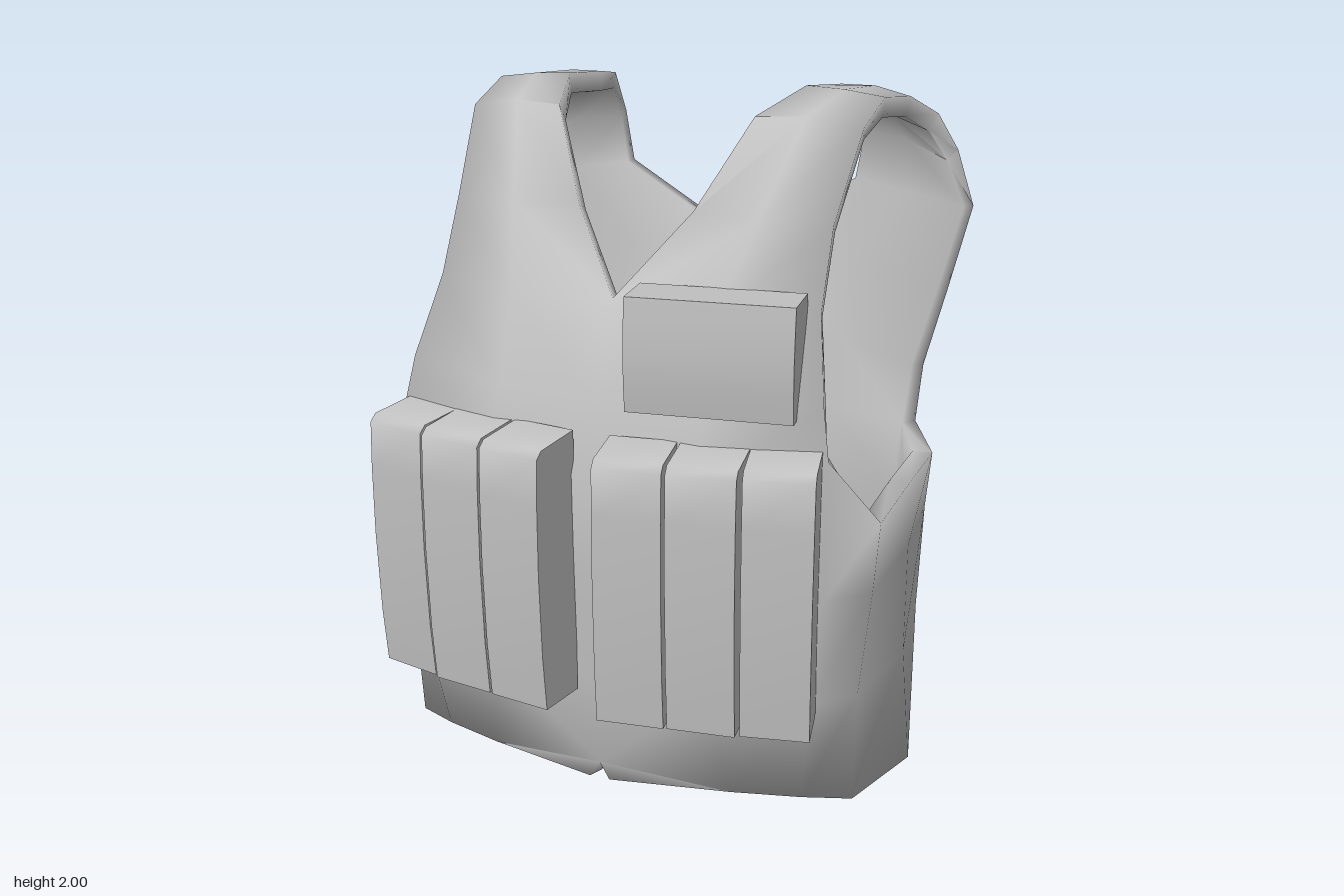
import * as THREE from 'three';
import { mergeVertices, toCreasedNormals } from 'three/addons/utils/BufferGeometryUtils.js';

// Lower body, left half: each row runs from front centre round to back centre.
const TUB = [
  [[0, .15, .48], [.37, .1, .41], [.56, .095, .35], [.69, .085, .285], [.76, .06, -.05], [.67, .04, -.39], [.5, .02, -.535], [.34, .01, -.665], [0, 0, -.675]],
  [[0, .42, .5], [.32, .42, .49], [.6, .42, .41], [.7, .42, .305], [.73, .4, -.05], [.675, .4, -.39], [.58, .38, -.5], [.35, .37, -.58], [0, .37, -.585]],
  [[0, .73, .51], [.3, .73, .51], [.63, .73, .42], [.73, .73, .3], [.73, .73, -.05], [.69, .73, -.38], [.605, .73, -.465], [.36, .73, -.49], [0, .73, -.505]],
  [[0, 1.02, .515], [.3, 1.05, .52], [.63, 1.12, .41], [.745, .93, .3], [.725, .92, -.05], [.71, .91, -.36], [.635, .98, -.43], [.36, .97, -.54], [0, .97, -.545]],
];

// Strap, left half: rows climb the chest, cross the shoulder and descend the back.
// Each row runs from the centre or neckline to the armhole.
const top = TUB[3];
const STRAP = [
  [top[0], top[1], top[2]],
  [[0, 1.22, .475], [.3, 1.23, .46], [.605, 1.26, .385]],
  [[0, 1.48, .36], [.3, 1.47, .37], [.56, 1.48, .29]],
  [[.17, 1.7, .21], [.36, 1.69, .23], [.555, 1.69, .19]],
  [[.29, 1.94, .075], [.43, 1.945, .06], [.58, 1.92, .035]],
  [[.36, 2, -.14], [.47, 1.995, -.14], [.585, 1.98, -.14]],
  [[.38, 1.975, -.4], [.48, 1.975, -.4], [.585, 1.95, -.4]],
  [[.4, 1.955, -.54], [.51, 1.94, -.53], [.64, 1.89, -.51]],
  [[.41, 1.825, -.64], [.55, 1.82, -.61], [.69, 1.78, -.565]],
  [[.38, 1.67, -.635], [.56, 1.64, -.61], [.745, 1.62, -.56]],
  [[0, 1.45, -.625], [.38, 1.4, -.62], [.695, 1.38, -.51]],
  [[0, 1.17, -.585], [.38, 1.17, -.58], [.645, 1.15, -.455]],
  [top[8], top[7], top[6]],
];

const WALL = 0.058;

function vestGeometry() {
  const pos = [];
  const flip = ([x, y, z]) => [-x, y, z];
  const tri = (a, b, c) => {
    pos.push(...a, ...b, ...c);
    pos.push(...flip(a), ...flip(c), ...flip(b));
  };
  const sheet = (rows) => {
    for (let i = 0; i + 1 < rows.length; i++) {
      for (let j = 0; j + 1 < rows[i].length; j++) {
        tri(rows[i][j], rows[i][j + 1], rows[i + 1][j + 1]);
        tri(rows[i][j], rows[i + 1][j + 1], rows[i + 1][j]);
      }
    }
  };
  sheet(TUB);
  sheet(STRAP);
  // Narrow the notch at the middle of the front hem
  tri(TUB[0][0], [.03, .1, .48], TUB[0][1]);

  let outer = new THREE.BufferGeometry();
  outer.setAttribute('position', new THREE.Float32BufferAttribute(pos, 3));
  outer = mergeVertices(outer);
  outer.computeVertexNormals();
  const p = outer.attributes.position;
  const n = outer.attributes.normal;
  const index = Array.from(outer.index.array);
  const count = p.count;

  // Inner skin, offset along the normals and kept above the ground
  const points = Array.from(p.array);
  for (let i = 0; i < count; i++) {
    points.push(
      p.getX(i) - n.getX(i) * WALL,
      Math.max(0, p.getY(i) - n.getY(i) * WALL),
      p.getZ(i) - n.getZ(i) * WALL,
    );
  }
  const faces = [...index];
  const edges = new Map();
  for (let i = 0; i < index.length; i += 3) {
    const t = index.slice(i, i + 3);
    faces.push(t[0] + count, t[2] + count, t[1] + count);
    t.forEach((a, k) => edges.set(a + '_' + t[(k + 1) % 3], [a, t[(k + 1) % 3]]));
  }
  // Rim along every open edge
  for (const [a, b] of edges.values()) {
    if (edges.has(b + '_' + a)) continue;
    faces.push(b, a, a + count, b, a + count, b + count);
  }
  const shell = new THREE.BufferGeometry();
  shell.setAttribute('position', new THREE.Float32BufferAttribute(points, 3));
  shell.setIndex(faces);
  // Rounded-looking rims: shade smoothly across right-angled edges
  return toCreasedNormals(shell, 1.75);
}

// Pouch from a side profile of [depth, height] points, centred on its width,
// with its back at z = 0
function pouchGeometry(profile, width) {
  const shape = new THREE.Shape(profile.map(([d, h]) => new THREE.Vector2(d, h)));
  const g = new THREE.ExtrudeGeometry(shape, { depth: width, bevelEnabled: false });
  g.translate(0, 0, -width / 2);
  g.rotateY(-Math.PI / 2);
  return toCreasedNormals(g, 1.1);
}

export function createModel() {
  const model = new THREE.Group();
  const fabric = new THREE.MeshStandardMaterial({ color: 0xc0c0c0 });
  fabric.name = 'grey fabric';
  const add = (name, geometry, x, y, z, yaw) => {
    const m = new THREE.Mesh(geometry, fabric);
    m.name = name;
    m.position.set(x, y, z);
    m.rotation.y = yaw;
    model.add(m);
  };

  add('vestShell', vestGeometry(), 0, 0, 0, 0);

  // Three tall pouches on each side of the front
  const tall = pouchGeometry([[0, 0], [.15, 0], [.165, .16], [.175, .4], [.175, .6], [.17, .73], [.15, .75], [0, .765]], .186);
  const places = [[.146, .49, .14], [.339, .46, .14], [.52, .418, .22]];
  for (const side of [1, -1]) {
    places.forEach(([x, z, yaw], i) => {
      add((side > 0 ? 'left' : 'right') + 'TallPouch' + (i + 1), tall, side * x, .382, z, side * yaw);
    });
  }

  // Wide pouch on the left of the chest
  const wide = pouchGeometry([[0, 0], [.155, 0], [.165, .08], [.168, .16], [.162, .25], [.155, .31], [0, .31]], .45);
  add('chestPouch', wide, .302, 1.22, .328, .14);

  return model;
}
